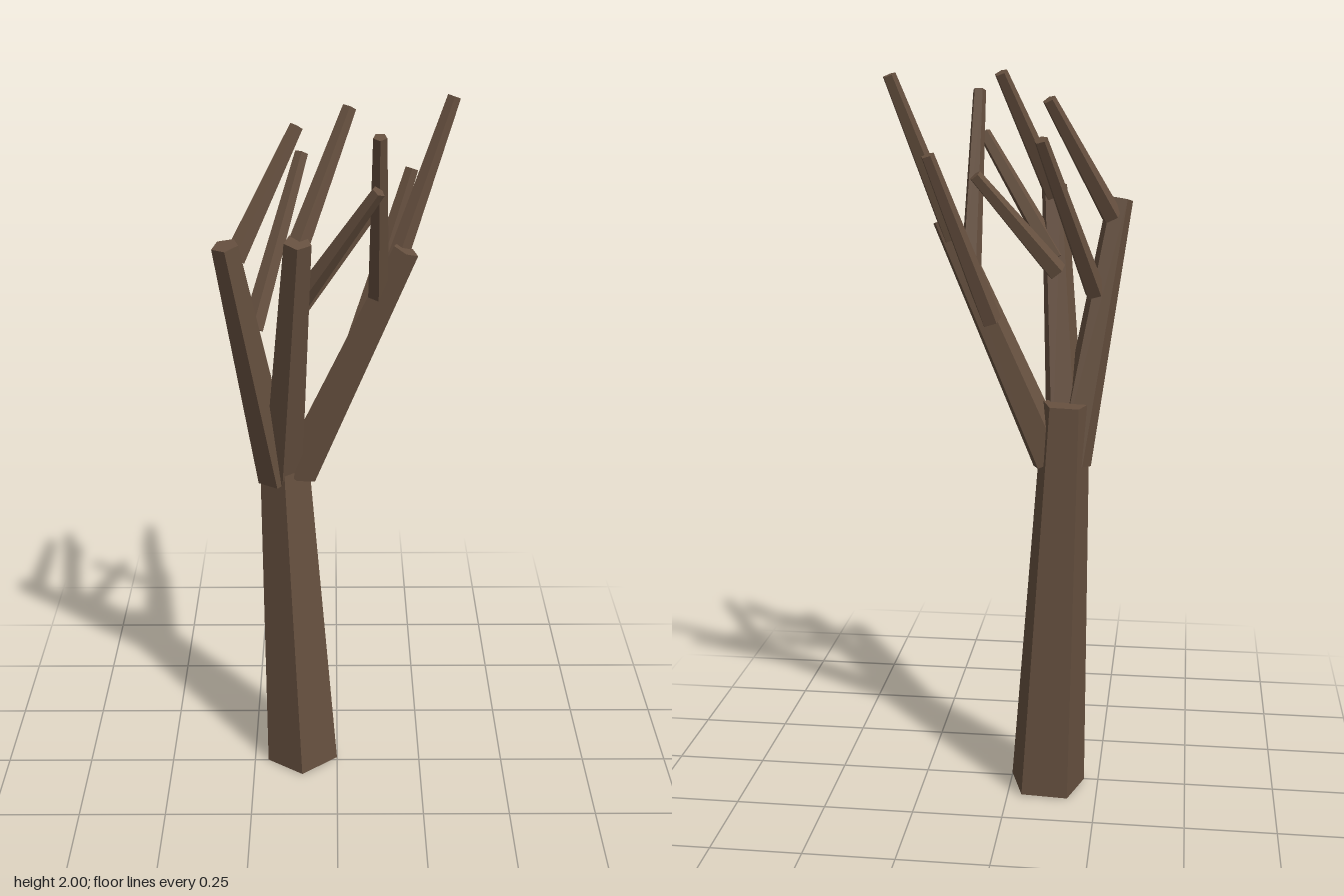
import * as THREE from 'three';

const bark = new THREE.MeshStandardMaterial({ color: 0x66503f, roughness: 1, flatShading: true });
const UP = new THREE.Vector3(0, 1, 0);

// Tapered five-sided limb running from one point to another
function limb(name, from, to, r0, r1) {
  const a = new THREE.Vector3(...from);
  const dir = new THREE.Vector3(...to).sub(a);
  const length = dir.length();
  const geometry = new THREE.CylinderGeometry(r1, r0, length, 5);
  geometry.translate(0, length / 2, 0);
  const mesh = new THREE.Mesh(geometry, bark);
  mesh.name = name;
  mesh.position.copy(a);
  mesh.quaternion.setFromUnitVectors(UP, dir.normalize());
  return mesh;
}

export function createModel() {
  const tree = new THREE.Group();
  tree.name = 'bareTree';

  // Trunk, leaning slightly
  tree.add(limb('trunk', [-0.105, 0.005, -0.035], [-0.15, 1.13, -0.05], 0.11, 0.066));

  // Main branches, each with its twigs as [start, tip]
  const branches = [
    {
      name: 'rightBranch', from: [-0.165, 0.96, -0.03], to: [-0.28, 1.665, 0.08],
      twigs: [
        [[-0.22, 1.42, 0.02], [-0.092, 1.83, -0.182]],
        [[-0.26, 1.62, 0.05], [-0.102, 1.925, -0.075]],
      ],
    },
    {
      name: 'frontBranch', from: [-0.15, 0.97, -0.035], to: [-0.097, 1.695, 0.145],
      twigs: [
        [[-0.1, 1.67, 0.122], [0.03, 1.99, 0]],
        [[-0.115, 1.47, 0.05], [0.095, 1.73, -0.03]],
        [[-0.11, 1.5, 0.08], [0.098, 1.83, 0.175]],
      ],
    },
    {
      name: 'leftBranch', from: [-0.11, 0.97, -0.042], to: [0.177, 1.617, -0.03],
      twigs: [
        [[0.108, 1.47, -0.035], [0.102, 1.945, 0.115]],
        [[0.05, 1.35, -0.055], [0.195, 1.79, -0.175]],
        [[0.15, 1.57, -0.05], [0.296, 1.985, -0.137]],
      ],
    },
  ];
  for (const b of branches) {
    const group = new THREE.Group();
    group.name = b.name;
    group.add(limb('limb', b.from, b.to, 0.056, 0.036));
    for (const [start, tip] of b.twigs) group.add(limb('twig', start, tip, 0.029, 0.018));
    tree.add(group);
  }
  return tree;
}
